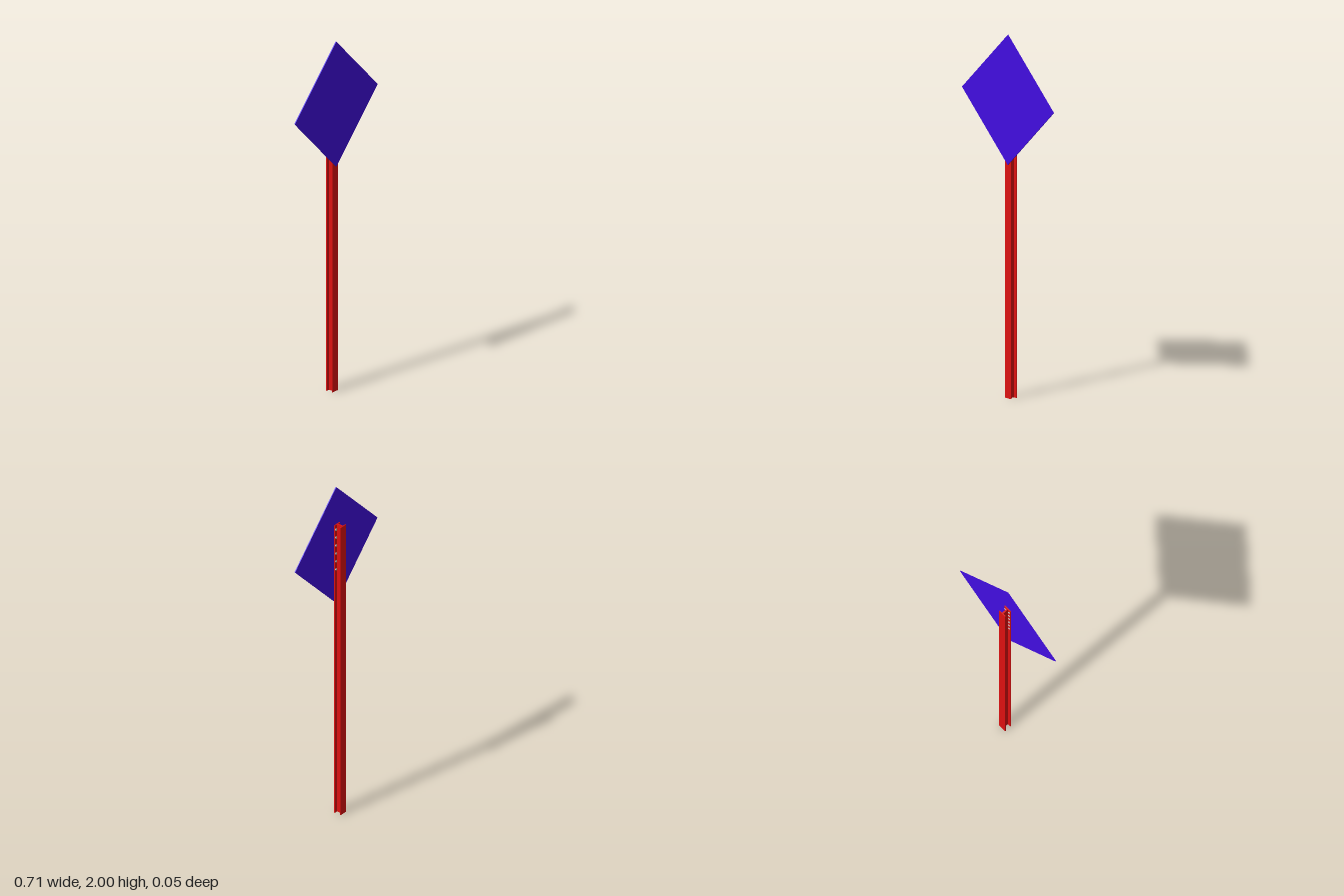
import * as THREE from 'three';

const RED = new THREE.MeshStandardMaterial({ color: 0xdd1111 });
const BLUE = new THREE.MeshStandardMaterial({ color: 0x420de0 });
const GREY = new THREE.MeshStandardMaterial({ color: 0xcccccc });

const POST_X = -0.003;    // the post sits slightly off the panel's centre
const POST_HEIGHT = 1.773;

export function createModel() {
  const model = new THREE.Group();
  model.name = 'signPost';

  const add = (parent, name, geometry, material, x, y, z) => {
    const mesh = new THREE.Mesh(geometry, material);
    mesh.name = name;
    mesh.position.set(x, y, z);
    parent.add(mesh);
    return mesh;
  };

  // I-beam post: one outline extruded upwards
  const w = 0.023, t = 0.005, web = 0.0045, back = -0.025, front = 0.019;
  const half = [[w, -front], [w, -front + t], [web, -front + t],
    [web, -back - t], [w, -back - t], [w, -back]];
  const outline = [...half, ...half.map(([x, y]) => [-x, y]).reverse()];
  const beam = new THREE.Shape(outline.map(([x, y]) => new THREE.Vector2(x, y)));
  const beamGeometry = new THREE.ExtrudeGeometry(beam, { depth: POST_HEIGHT, bevelEnabled: false });
  beamGeometry.rotateX(-Math.PI / 2);
  add(model, 'post', beamGeometry, RED, POST_X, 0, 0);

  // Square panel standing on its corner
  const side = 0.715 / Math.SQRT2;
  const panel = add(model, 'panel', new THREE.BoxGeometry(side, side, 0.005), BLUE, 0, 1.6425, 0.0218);
  panel.rotation.z = Math.PI / 4;

  // Two columns of bolt heads on the rear of the front flange
  const bolts = new THREE.Group();
  bolts.name = 'bolts';
  model.add(bolts);
  const boltGeometry = new THREE.CylinderGeometry(0.0062, 0.0062, 0.004, 12);
  boltGeometry.rotateX(Math.PI / 2);
  for (const s of [-1, 1]) {
    for (let i = 0; i < 6; i++) {
      add(bolts, 'bolt', boltGeometry, GREY, POST_X + s * 0.0142, 1.5 + i * 0.049, 0.0125);
    }
  }
  return model;
}
